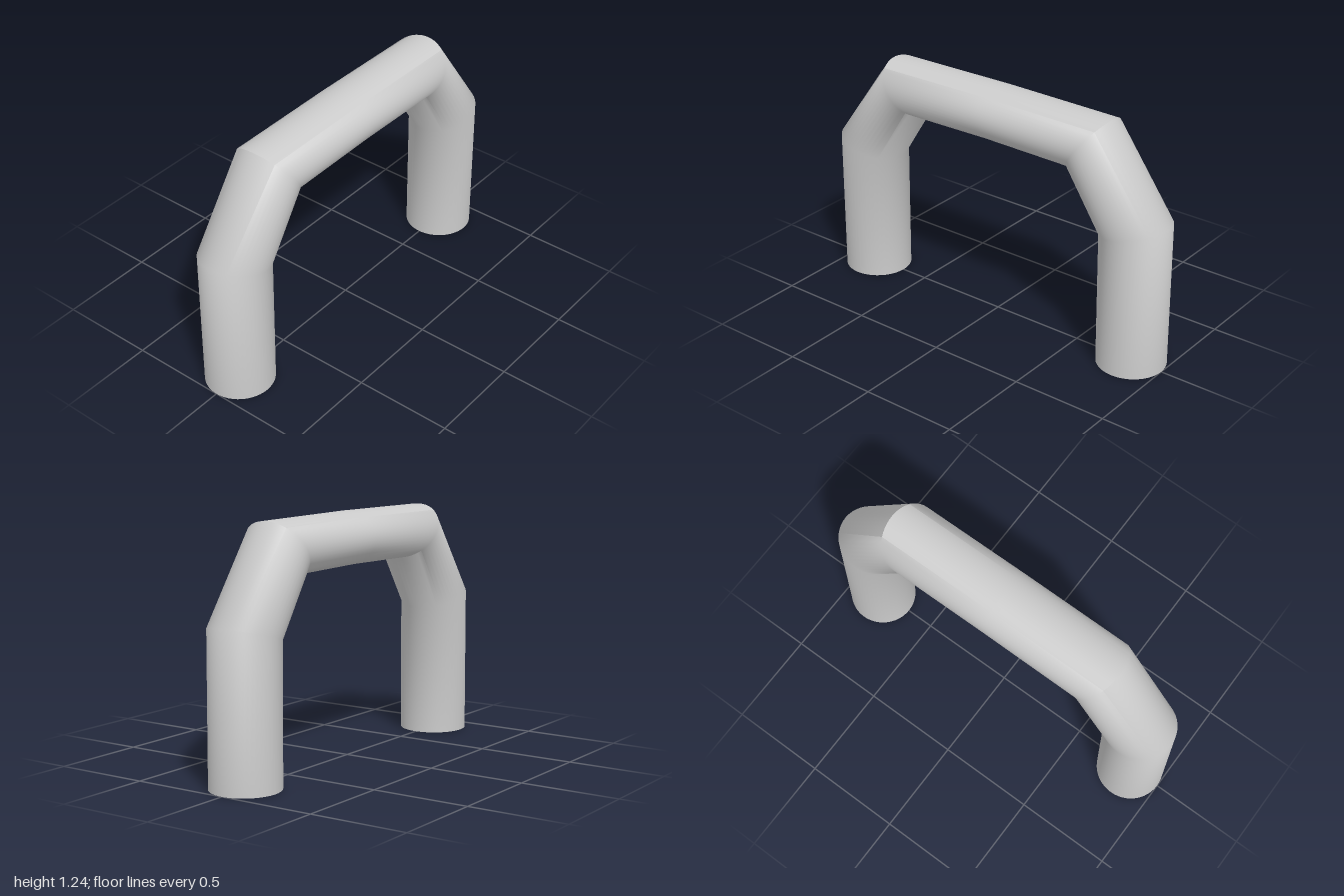
import * as THREE from 'three';
import { toCreasedNormals } from 'three/addons/utils/BufferGeometryUtils.js';

const SIDES = 48;
const HALF_DEPTH = 0.174;

// Left half of the arch: each ring as outer x, y and inner x, y
const HALF = [
  [-1, 0, -0.65, 0],
  [-0.997, 0.773, -0.643, 0.682],
  [-0.66, 1.232, -0.468, 0.963],
];
const CROWN = [0, 1.238, 0, 0.97];

function archGeometry() {
  const mirrored = HALF.map(([ox, oy, ix, iy]) => [-ox, oy, -ix, iy]).reverse();
  const rings = [...HALF, CROWN, ...mirrored];
  const positions = [];
  const index = [];

  // Elliptical cross-sections, mitred at each bend
  for (const [ox, oy, ix, iy] of rings) {
    for (let j = 0; j < SIDES; j++) {
      const a = (j / SIDES) * Math.PI * 2;
      const c = Math.cos(a) / 2;
      positions.push(
        (ox + ix) / 2 + (ox - ix) * c,
        (oy + iy) / 2 + (oy - iy) * c,
        HALF_DEPTH * Math.sin(a)
      );
    }
  }

  // Tube wall
  const at = (i, j) => i * SIDES + (j % SIDES);
  const last = rings.length - 1;
  for (let i = 0; i < last; i++) {
    for (let j = 0; j < SIDES; j++) {
      const a = at(i, j), b = at(i, j + 1), c = at(i + 1, j + 1), d = at(i + 1, j);
      index.push(a, b, c, a, c, d);
    }
  }

  // Flat feet
  for (const i of [0, last]) {
    const [ox, oy, ix, iy] = rings[i];
    const centre = positions.length / 3;
    positions.push((ox + ix) / 2, (oy + iy) / 2, 0);
    for (let j = 0; j < SIDES; j++) {
      if (i === 0) index.push(centre, at(i, j + 1), at(i, j));
      else index.push(centre, at(i, j), at(i, j + 1));
    }
  }

  const geometry = new THREE.BufferGeometry();
  geometry.setAttribute('position', new THREE.Float32BufferAttribute(positions, 3));
  geometry.setIndex(index);
  // Sharp at the feet and upper bends, smooth elsewhere
  return toCreasedNormals(geometry, 0.77);
}

export function createModel() {
  const group = new THREE.Group();
  group.name = 'handle';
  const arch = new THREE.Mesh(
    archGeometry(),
    new THREE.MeshStandardMaterial({ color: 0xcccccc })
  );
  arch.name = 'archTube';
  group.add(arch);
  return group;
}
